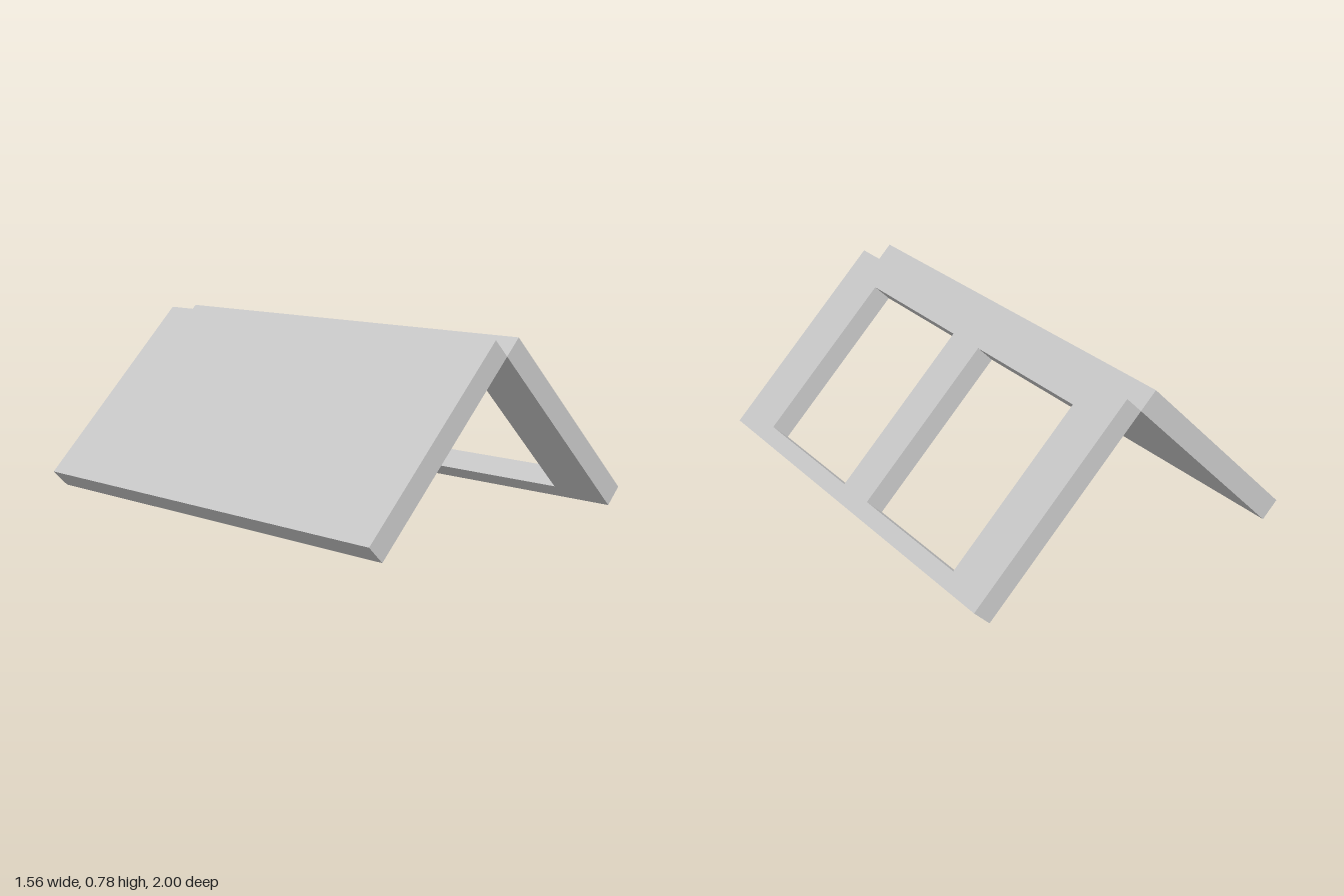
import * as THREE from 'three';

const SLOPE = 1;        // slab length from eave to ridge
const THICKNESS = 0.1;
const HALF_LENGTH = 1;  // half of the ridge length
const C = Math.SQRT1_2; // 45 degree pitch

// Closed rectangle path: u runs along the ridge, v up the slope
function rect(PathType, u0, u1, v0, v1) {
  return new PathType([[u0, v0], [u1, v0], [u1, v1], [u0, v1]].map(([u, v]) => new THREE.Vector2(u, v)));
}

// One sloping slab on the +x side, with optional openings
function roofSlab(name, material, openings = []) {
  const shape = rect(THREE.Shape, -HALF_LENGTH, HALF_LENGTH, 0, SLOPE);
  for (const o of openings) shape.holes.push(rect(THREE.Path, ...o));
  const geometry = new THREE.ExtrudeGeometry(shape, { depth: THICKNESS, bevelEnabled: false });
  const tilt = new THREE.Matrix4().makeBasis(
    new THREE.Vector3(0, 0, -1),
    new THREE.Vector3(-C, C, 0),
    new THREE.Vector3(C, C, 0)
  ).setPosition(C * SLOPE, 0, 0);
  geometry.applyMatrix4(tilt);
  const mesh = new THREE.Mesh(geometry, material);
  mesh.name = name;
  return mesh;
}

export function createModel() {
  const group = new THREE.Group();
  group.name = 'gableRoof';
  const material = new THREE.MeshStandardMaterial({ color: 0xcccccc });

  // Slab with two skylight openings
  group.add(roofSlab('skylightRoofSlab', material, [
    [-0.75, -0.083, 0.075, 0.875],
    [0.108, 0.775, 0.075, 0.875],
  ]));

  // Solid slab, turned to the opposite side
  const solid = roofSlab('solidRoofSlab', material);
  solid.rotation.y = Math.PI;
  group.add(solid);

  return group;
}
